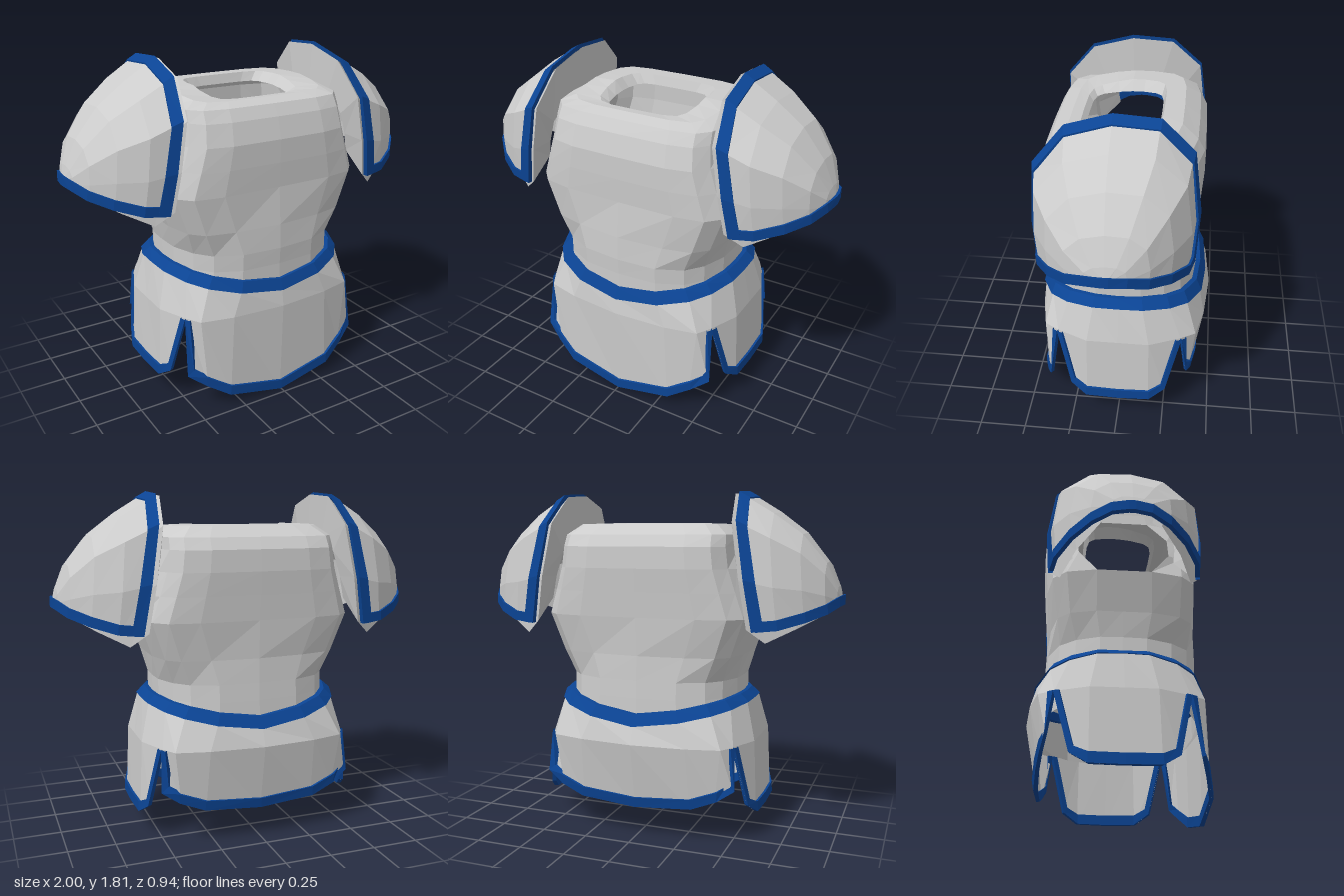
import * as THREE from 'three';

const grey = new THREE.MeshStandardMaterial({ color: 0xcccccc, flatShading: true, side: THREE.DoubleSide });
const blue = new THREE.MeshStandardMaterial({ color: 0x0b4494, flatShading: true, side: THREE.DoubleSide });
const V = (x, y, z) => new THREE.Vector3(x, y, z);

// Skin rows of points with quads; closed joins the last column to the first
function loft(name, rows, material, closed = false, skip = () => false) {
  const n = rows[0].length, index = [];
  for (let r = 0; r < rows.length - 1; r++) {
    for (let c = 0; c < (closed ? n : n - 1); c++) {
      if (skip(r, c)) continue;
      const a = r * n + c, b = r * n + (c + 1) % n;
      index.push(a, b, b + n, a, b + n, a + n);
    }
  }
  const geometry = new THREE.BufferGeometry().setFromPoints(rows.flat());
  geometry.setIndex(index);
  geometry.computeVertexNormals();
  const mesh = new THREE.Mesh(geometry, material);
  mesh.name = name;
  return mesh;
}

// Thick blue edging between an edge path and its inset path
function edging(name, edge, inset, normalOf, t = 0.012) {
  const rows = edge.map((p, i) => {
    const q = inset[i], n = normalOf(p).normalize(), m = normalOf(q).normalize();
    return [p.clone().addScaledVector(n, t), q.clone().addScaledVector(m, t),
      q.clone().addScaledVector(m, -t), p.clone().addScaledVector(n, -t)];
  });
  return loft(name, rows, blue, true);
}
const toward = (p, q, d) => q.clone().sub(p).normalize().multiplyScalar(d);

// Rounded-rectangle sections of 20 points, front centre first, going to +x
const makeSection = (quarter) => Array.from({ length: 20 }, (_, k) => {
  const e = k % 10 <= 5 ? k % 10 : 10 - k % 10;
  return { e, sx: k <= 10 ? 1 : -1, sz: k < 5 || k > 15 ? 1 : -1, x: quarter[e][0], z: quarter[e][1] };
});
const chest = makeSection([[0, 1], [0.55, 0.99], [0.82, 0.92], [0.94, 0.74], [1, 0.35], [1, 0]]);
const waist = makeSection([[0, 1], [0.45, 0.96], [0.74, 0.81], [0.89, 0.6], [0.99, 0.29], [1, 0]]);
const hips = makeSection([[0, 1], [0.5, 0.95], [0.8, 0.865], [0.93, 0.7], [1, 0.35], [1, 0]]);
const ring = (section, hx, front, back, y) => section.map((s) =>
  V(s.sx * s.x * hx, y(s), s.sz * s.z * (s.sz > 0 ? front : back)));

function torso() {
  // Section, y, half width, front depth, back depth, dip at the front
  const rings = [
    [waist, 0.48, 0.5, 0.425, 0.4, 0], [waist, 0.75, 0.475, 0.425, 0.39, 0], [waist, 0.84, 0.475, 0.43, 0.385, 0],
    [hips, 0.97, 0.505, 0.425, 0.38, 0], [chest, 1.17, 0.575, 0.41, 0.39, 0], [chest, 1.3, 0.53, 0.415, 0.4, 0],
    [chest, 1.42, 0.49, 0.415, 0.41, 0], [chest, 1.53, 0.475, 0.385, 0.405, 0], [chest, 1.59, 0.47, 0.35, 0.37, 0],
    [chest, 1.645, 0.4, 0.28, 0.29, 0.035], [chest, 1.65, 0.27, 0.225, 0.19, 0.045], [chest, 1.6, 0.225, 0.2, 0.175, 0.02],
  ].map(([section, y, hx, f, b, dip]) => ring(section, hx, f, b, (s) => y - (s.sz > 0 ? dip * s.z : 0)));
  // Widen the middle of each armhole to an octagon
  for (const r of [5, 6]) for (const k of [4, 6, 14, 16]) rings[r][k].z *= 1.65;
  return loft('torso', rings, grey, true, (r, c) => r >= 4 && r < 7 && [4, 5, 14, 15].includes(c));
}

function skirt() {
  const group = new THREE.Group();
  group.name = 'skirt';
  const radial = (p) => V(p.x, 0, p.z);
  const beltY = [0.61, 0.645, 0.68, 0.7, 0.718, 0.72];
  const bottom = (s) => beltY[s.e];
  const top = ring(waist, 0.535, 0.455, 0.44, bottom);
  const middle = ring(hips, 0.58, 0.47, 0.475, () => 0.52);
  [3, 7, 13, 17].forEach((k) => { middle[k].x = hips[k].sx * 0.51; });
  group.add(loft('upperSkirt', [top, middle], grey, true));

  // Belt dips at the front and back
  const beltTop = (s) => beltY[s.e] + 0.06 - 0.005 * s.e;
  const above = ring(waist, 0.497, 0.442, 0.418, beltTop);
  const under = ring(waist, 0.542, 0.465, 0.45, bottom);
  const innerTop = ring(waist, 0.45, 0.4, 0.37, beltTop);
  const innerBottom = ring(waist, 0.45, 0.4, 0.37, bottom);
  group.add(loft('belt', [innerTop, above, under, innerBottom, innerTop], blue, true));

  // Hem points from the panel centre to its corner
  const frontHem = [[0, 0.003, 0.455], [0.31, 0.065, 0.445], [0.43, 0.14, 0.41], [0.525, 0.21, 0.375]];
  const backHem = [[0, 0.17, 0.41], [0.3, 0.19, 0.4], [0.43, 0.24, 0.385], [0.52, 0.3, 0.365]];
  const sideHem = [[0.565, 0.195, 0.255], [0.597, 0.138, 0.17], [0.6, 0.134, 0]];
  const panels = [
    ['frontPanel', -3, 3, frontHem, 0], ['leftPanel', 3, 7, sideHem, 3],
    ['backPanel', 7, 13, backHem, 0], ['rightPanel', 13, 17, sideHem, 3],
  ];
  for (const [name, from, to, hem, first] of panels) {
    const upper = [], lower = [];
    for (let k = from; k <= to; k++) {
      const i = (k + 20) % 20, s = hips[i], [x, y, z] = hem[s.e - first];
      upper.push(middle[i]);
      lower.push(V(s.sx * x, y, s.sz * z));
    }
    group.add(loft(name, [upper, lower], grey));

    // Edging runs down one slit, along the hem and up the other
    const last = upper.length - 1, w = 0.042;
    const hemInset = lower.map((p, i) => {
      const q = p.clone().add(toward(p, upper[i], 0.055));
      if (i === 0) q.add(toward(p, lower[1], w));
      if (i === last) q.add(toward(p, lower[last - 1], w));
      return q;
    });
    const slitInset = (i, j) => upper[i].clone().add(toward(upper[i], upper[j], w * 0.7));
    group.add(edging(name + 'Edging', [upper[0], ...lower, upper[last]],
      [slitInset(0, 1), ...hemInset, slitInset(last, last - 1)], radial));
  }
  return group;
}

function shoulderGuard(side) {
  const group = new THREE.Group();
  group.name = side > 0 ? 'leftShoulderGuard' : 'rightShoulderGuard';
  const profile = [[0.97, 0], [1.02, 0.3], [1, 0.65], [0.62, 0.91], [0.05, 1],
    [-0.52, 0.98], [-0.92, 0.77], [-1.01, 0.36], [-0.97, 0]];
  // Arch from front base over the apex to back base
  const arch = ([xb, yb, xt, yt, w]) => profile.map(([v, h]) =>
    V(side * (xb + (xt - xb) * h), yb + (yt - yb) * h, w * v));
  const outward = (p) => V(p.x - side * 0.5, p.y - 1.15, p.z);

  // Base x, base y, apex x, apex y, half depth
  const shell = [
    [0.62, 1.12, 0.52, 1.79, 0.38], [0.72, 1.13, 0.66, 1.705, 0.36], [0.84, 1.165, 0.8, 1.6, 0.285],
    [0.93, 1.2, 0.915, 1.455, 0.19], [0.975, 1.23, 0.97, 1.33, 0.095], [0.988, 1.235, 0.988, 1.27, 0.015],
  ].map(arch);
  group.add(loft('shell', shell, grey));

  // Inner face around the arm opening, lip, then the lining of the dome
  const lining = [
    [0.54, 1.25, 0.46, 1.58, 0.27], [0.575, 1.13, 0.465, 1.805, 0.385], [0.66, 1.06, 0.58, 1.7, 0.335],
    [0.8, 1.13, 0.76, 1.56, 0.26], [0.93, 1.2, 0.9, 1.4, 0.15],
  ].map(arch);
  group.add(loft('lining', lining, grey));

  // Band around the opening beside the neck
  const collar = arch([0.6, 1.12, 0.485, 1.805, 0.385]);
  const collarInset = collar.map((p, i) => p.clone().add(toward(p, shell[1][i], 0.06)));
  group.add(edging('archEdging', collar, collarInset, outward));

  // Band along the lower rim
  const n = profile.length - 1;
  const rim = [...shell.map((a) => a[0]), ...shell.map((a) => a[n]).reverse()];
  const over = [...shell.map((a) => a[1]), ...shell.map((a) => a[n - 1]).reverse()];
  const rimInset = rim.map((p, i) => p.clone().add(toward(p, over[i], 0.05)));
  group.add(edging('rimEdging', rim, rimInset, outward));
  return group;
}

export function createModel() {
  const model = new THREE.Group();
  model.name = 'bodyArmour';
  model.add(torso(), skirt(), shoulderGuard(1), shoulderGuard(-1));
  return model;
}
